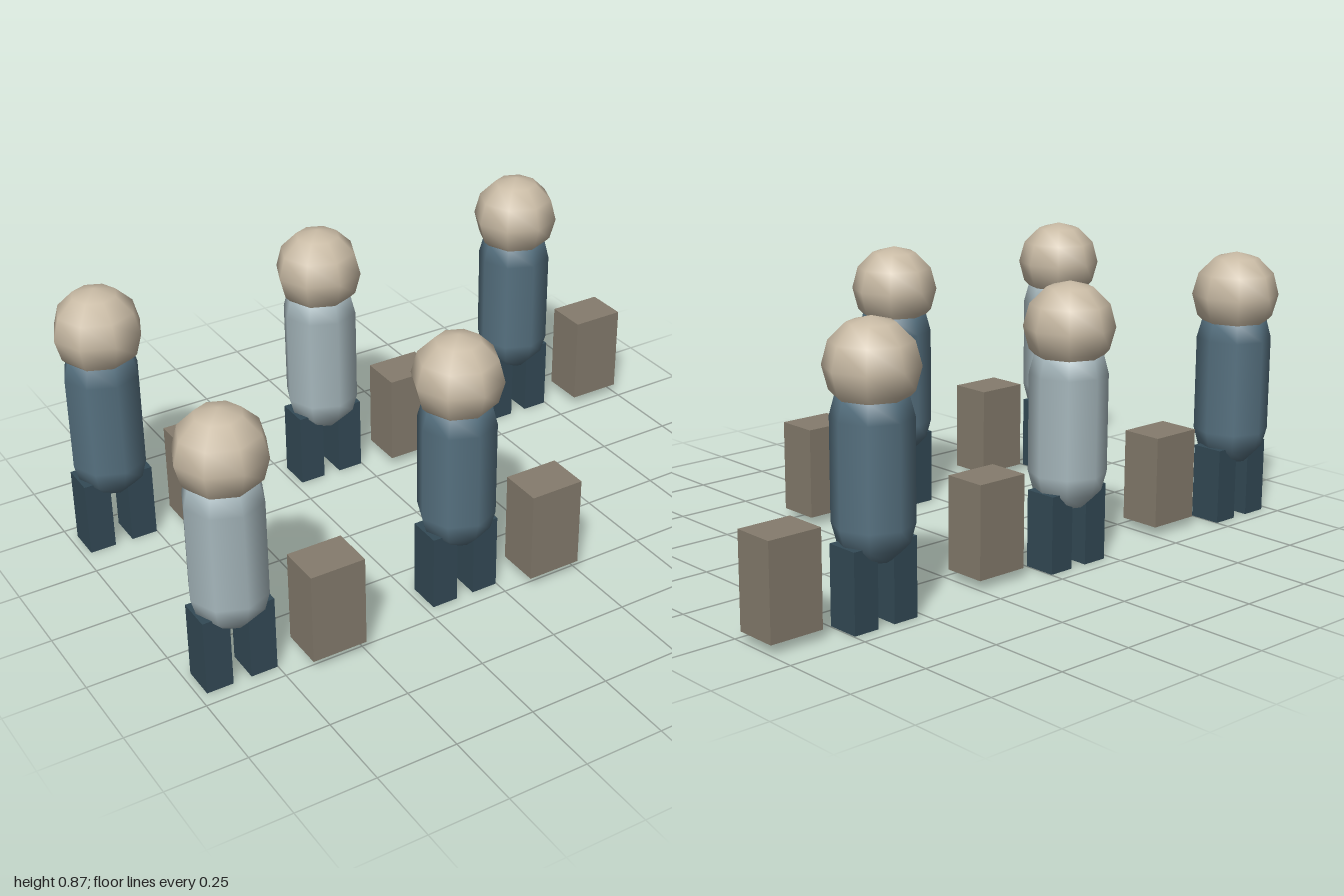
import * as THREE from 'three';

const flat = (name, color) => {
  const material = new THREE.MeshStandardMaterial({ color });
  material.name = name;
  return material;
};

export function createModel() {
  const skin = flat('skin', 0xc9bba5);
  const darkCoat = flat('darkCoat', 0x567180);
  const paleCoat = flat('paleCoat', 0xa6b7bc);
  const trousers = flat('trousers', 0x334a56);
  const luggage = flat('luggage', 0x857c6d);

  // Shared low-poly shapes
  const headShape = new THREE.SphereGeometry(0.137, 8, 6);
  const bodyShape = new THREE.CapsuleGeometry(0.118, 0.3, 3, 8);
  const legShape = new THREE.BoxGeometry(0.083, 0.24, 0.106);
  const caseShape = new THREE.BoxGeometry(0.174, 0.29, 0.137);

  const group = new THREE.Group();
  group.name = 'travellers';

  // One standing figure with a case beside its left foot
  function addTraveller(x, z, coat) {
    const traveller = new THREE.Group();
    traveller.name = 'traveller';
    const part = (name, shape, material, px, py, pz) => {
      const mesh = new THREE.Mesh(shape, material);
      mesh.name = name;
      mesh.position.set(px, py, pz);
      traveller.add(mesh);
    };
    part('head', headShape, skin, 0, 0.73, 0);
    part('body', bodyShape, coat, 0, 0.44, 0);
    part('rightLeg', legShape, trousers, -0.07, 0.12, 0);
    part('leftLeg', legShape, trousers, 0.07, 0.12, 0);
    part('suitcase', caseShape, luggage, 0.278, 0.175, 0.054);
    traveller.position.set(x, 0, z);
    group.add(traveller);
  }

  // Two in front, three behind, with alternating coats
  for (let i = 0; i < 5; i++) {
    const back = i > 1;
    const column = back ? i - 2 : i;
    const pale = (column + (back ? 1 : 0)) % 2 === 0;
    addTraveller(-0.863 + column * 0.749, back ? -0.4 : 0.4, pale ? paleCoat : darkCoat);
  }
  return group;
}
